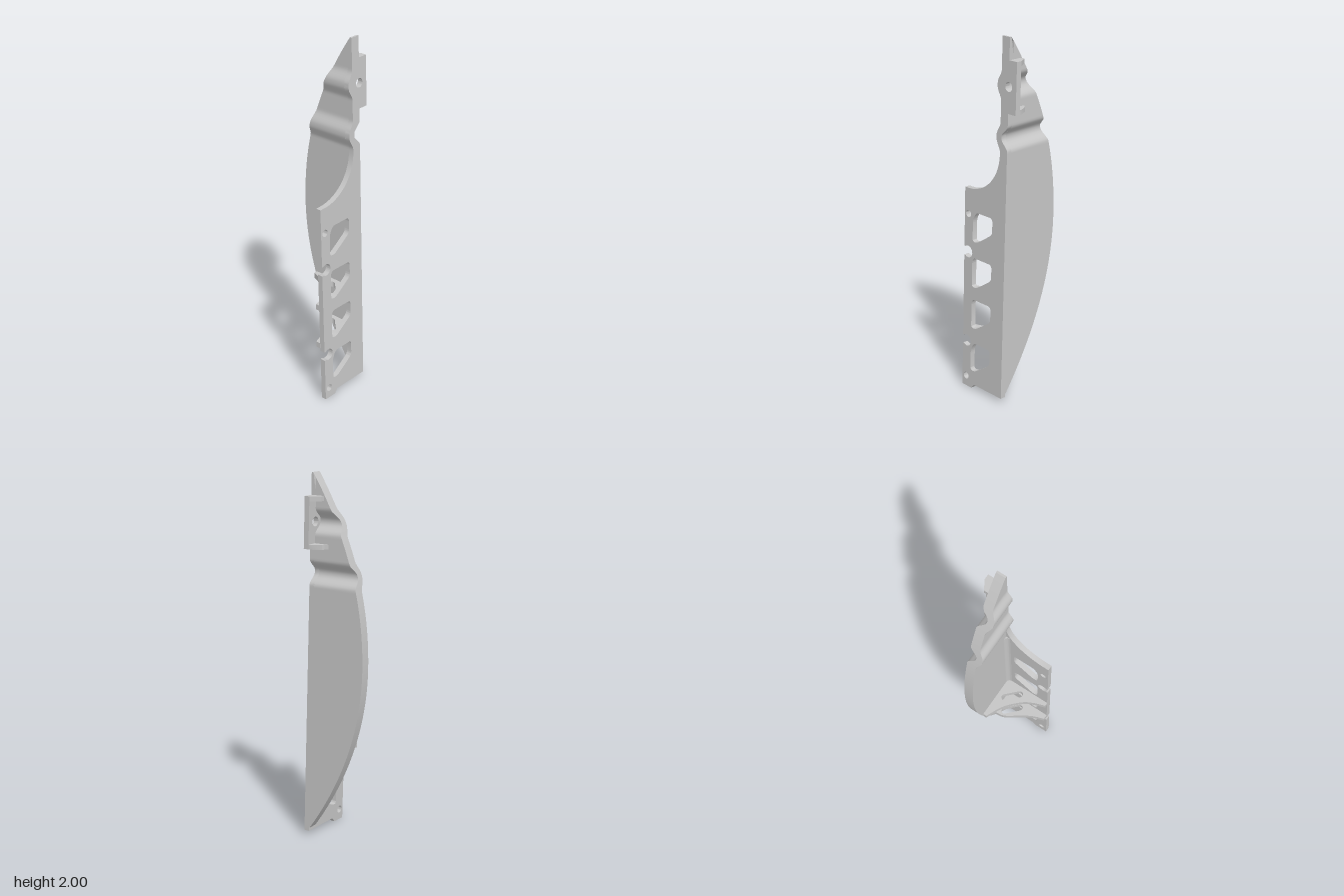
import * as THREE from 'three';
import { toCreasedNormals } from 'three/addons/utils/BufferGeometryUtils.js';

const T = 0.03; // side plate thickness

// Leaning outer face of the side plate, and the bowed outer edge of the blade
const outerX = y => 0.193 - 0.035 * y;
const edgeX = y => y < 1.03
  ? -0.195 + 0.352 * ((1.03 - y) / 0.985) ** 2
  : -0.195 + 0.307 * ((y - 1.03) / 0.97) ** 2.1;

// Two pressed corrugations across the blade
const bump = (y, half) => Math.max(...[1.75, 1.48].map(c =>
  THREE.MathUtils.smoothstep((1 - Math.abs(y - c) / half) * 1.12, 0, 1)));
const frontZ = y => -0.077 + 0.028 * bump(y, 0.08);
const backZ = y => -0.13 + 0.044 * bump(y, 0.067);

// Closed polygon with each corner rounded as far as its edges allow
function roundedPath(pts, radius) {
  const path = new THREE.Path();
  const v = pts.map(p => new THREE.Vector2(...p));
  v.forEach((p, i) => {
    const prev = v[(i + v.length - 1) % v.length], next = v[(i + 1) % v.length];
    const r = Math.min(radius, p.distanceTo(prev) * 0.48, p.distanceTo(next) * 0.48);
    const toward = q => p.clone().add(q.clone().sub(p).setLength(r));
    const a = toward(prev), b = toward(next);
    if (i) path.lineTo(a.x, a.y); else path.moveTo(a.x, a.y);
    path.quadraticCurveTo(p.x, p.y, b.x, b.y);
  });
  path.closePath();
  return path;
}

function circlePath(x, y, r) {
  return new THREE.Path().absarc(x, y, r, 0, Math.PI * 2, true);
}

// Horizontal slab from an outline given as x, z
function slab(shape, y0, height) {
  return new THREE.ExtrudeGeometry(shape, { depth: height, bevelEnabled: false, curveSegments: 10 })
    .rotateX(-Math.PI / 2).translate(0, y0, 0);
}
const outline = pts => new THREE.Shape(pts.map(([x, z]) => new THREE.Vector2(x, -z)));

// Shift each vertex so that x = 0 lies on the inner face of the side plate
function lean(geo) {
  const p = geo.attributes.position;
  for (let i = 0; i < p.count; i++) {
    const y = p.getY(i);
    let x = p.getX(i) + outerX(y) - T;
    if (y > 1.5) x = Math.max(x, edgeX(y));
    p.setX(i, x);
  }
  return geo;
}

function bladeGeometry() {
  const pos = [], n = 160, rows = [];
  for (let i = 0; i <= n; i++) {
    const y = 0.045 + (2 - 0.045) * i / n;
    const l = edgeX(y), r = Math.max(l, outerX(y) - T + 0.003);
    const f = frontZ(y), b = backZ(y);
    rows.push([[l, y, f], [r, y, f], [r, y, b], [l, y, b]]);
  }
  const quad = (a, b, c, d) => pos.push(...a, ...b, ...c, ...a, ...c, ...d);
  for (let i = 0; i < n; i++) {
    for (let k = 0; k < 4; k++) {
      const m = (k + 1) % 4;
      quad(rows[i][k], rows[i][m], rows[i + 1][m], rows[i + 1][k]);
    }
  }
  quad(...rows[0].slice().reverse());
  quad(...rows[n]);
  const geo = new THREE.BufferGeometry();
  geo.setAttribute('position', new THREE.Float32BufferAttribute(pos, 3));
  return geo;
}

function sidePlateGeometry() {
  // Outline in (-z, y)
  const s = new THREE.Shape();
  s.moveTo(-0.185, 0);
  s.lineTo(-0.11, 0);
  s.lineTo(-0.09, 0.025);
  s.lineTo(0.13, 0.025);
  for (let y = 1.4; y < 1.57; y += 0.01) s.lineTo(-backZ(y), y);
  [[0.13, 1.612], [0.185, 1.612], [0.185, 1.885], [0.13, 1.885], [0.13, 2], [0.077, 2]]
    .forEach(p => s.lineTo(...p));
  for (let y = 1.99; y > 1.395; y -= 0.01) s.lineTo(-frontZ(y), y);
  s.absarc(-0.16, 1.39, 0.237, 0, -Math.PI / 2, true);
  s.lineTo(-0.185, 1.153);
  // Open notches in the front edge
  for (const y of [0.795, 0.275]) {
    s.lineTo(-0.185, y + 0.026);
    s.absarc(-0.154, y, 0.033, 2.235, -2.235, true);
    s.lineTo(-0.185, y - 0.026);
  }
  s.closePath();
  // Windows
  for (const [top, cut] of [[1.03, 0.035], [0.77, 0.018], [0.53, 0.018], [0.275, 0.035]]) {
    s.holes.push(roundedPath([
      [-0.12, top - cut * 1.3], [-0.12 + cut * 0.7, top], [0.032, top],
      [0.032, top - 0.09], [-0.085, top - 0.168], [-0.12, top - 0.168],
    ], 0.022));
  }
  // Bolt holes
  s.holes.push(circlePath(-0.155, 1.01, 0.02), circlePath(-0.155, 0.06, 0.02), circlePath(0.13, 1.75, 0.025));
  const geo = new THREE.ExtrudeGeometry(s, { depth: T, bevelEnabled: false, curveSegments: 16 });
  return lean(geo.rotateY(Math.PI / 2));
}

// Curved brace with a slanted slot; start gives the first points of its free edge
function braceGeometry(start, y0) {
  const curve = new THREE.SplineCurve([...start, [0.065, 0.063], [0.1, 0.122], [0.122, 0.185]]
    .map(p => new THREE.Vector2(...p)));
  const arc = curve.getPoints(28).map(p => [p.x, p.y]);
  const shape = outline([[arc[0][0], -0.09], ...arc, [0.15, 0.185], [0.15, -0.09]]);
  const a = Math.atan2(-0.061, 0.065);
  const slot = new THREE.Path();
  slot.absarc(0.1, -0.028, 0.018, a - Math.PI / 2, a + Math.PI / 2, false);
  slot.absarc(0.037, 0.033, 0.018, a + Math.PI / 2, a + Math.PI * 1.5, false);
  slot.closePath();
  shape.holes.push(slot);
  return slab(shape, y0, 0.032);
}

export function createModel() {
  const group = new THREE.Group();
  const grey = new THREE.MeshStandardMaterial({ color: 0xc5c5c5 });
  grey.name = 'light grey';
  const add = (name, geo) => {
    const mesh = new THREE.Mesh(toCreasedNormals(geo, 0.5), grey);
    mesh.name = name;
    group.add(mesh);
  };

  add('blade', bladeGeometry());
  add('sidePlate', sidePlateGeometry());
  add('upperBrace', braceGeometry([[-0.112, -0.057], [-0.015, -0.01]], 0.55));
  add('lowerBrace', braceGeometry([[0, -0.07], [0.012, -0.015]], 0.315));

  // Concave fillet between blade and side plate
  const fillet = [[0.004, -0.08], [0.004, -0.053]];
  for (let i = 0; i <= 6; i++) {
    const a = i / 6 * Math.PI / 2;
    fillet.push([-0.024 + 0.024 * Math.cos(a), -0.053 - 0.024 * Math.sin(a)]);
  }
  fillet.push([-0.024, -0.08]);
  add('cornerFillet', lean(slab(outline(fillet.reverse()), 0.1, 1.17)));

  // Flanges closing the rear bracket; the upper one stops at the blade's edge
  const flange = [[0.02, -0.12], [0.02, -0.131], [0.036, -0.14], [0.042, -0.155], [0.097, -0.185], [0.115, -0.185], [0.115, -0.12]];
  for (const [name, y, minX] of [['bracketTop', 1.86, 0.047], ['bracketBottom', 1.612, 0.02]]) {
    add(name, slab(outline(flange.map(([x, z]) => [Math.max(x, minX), z])), y, 0.025));
  }
  return group;
}
